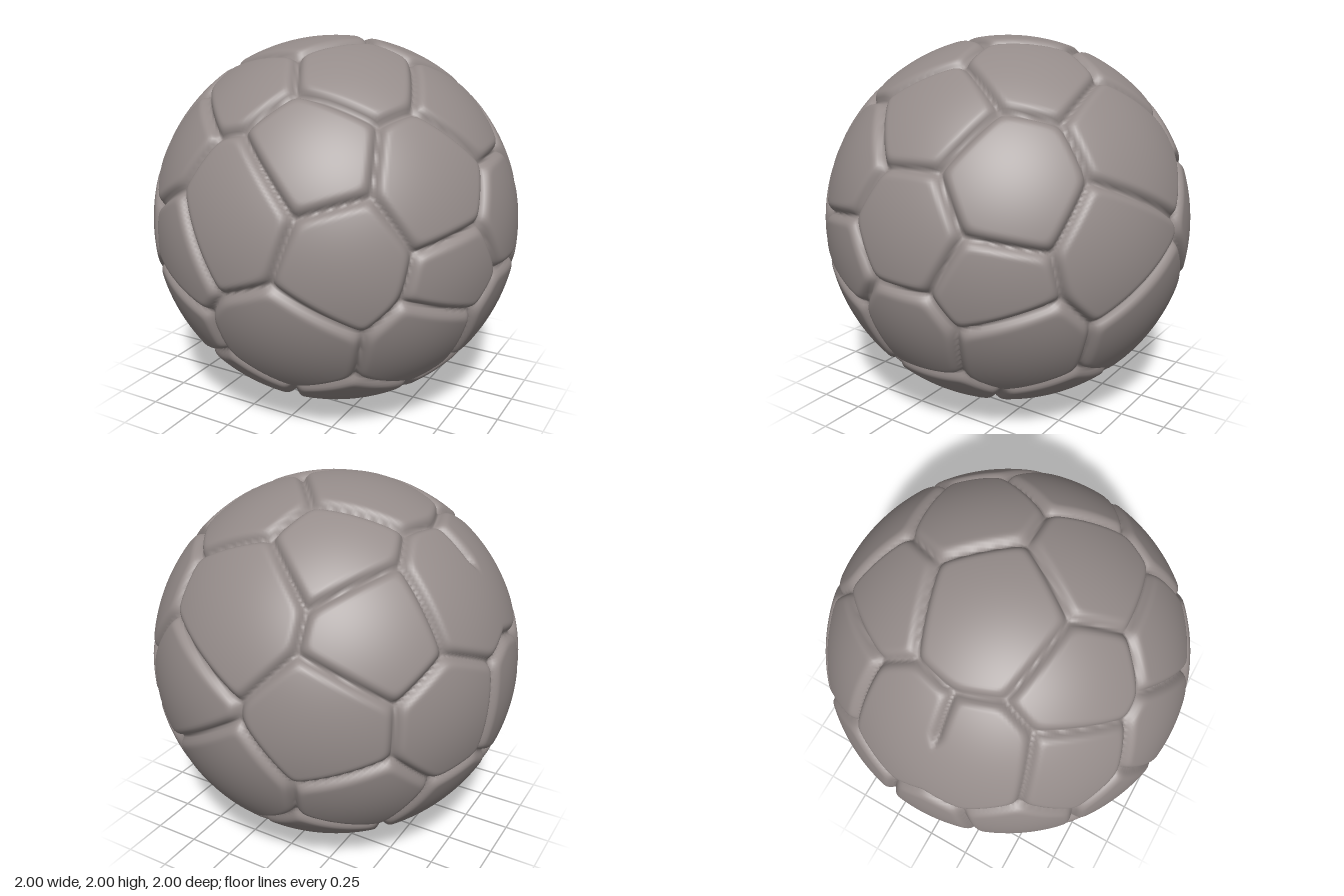
import * as THREE from 'three';
import { mergeVertices } from 'three/addons/utils/BufferGeometryUtils.js';

// Panels without a mirror twin: direction x, y, z and optional size bias
const SINGLE = [
  [0.98, 0.18, 0], [0.71, 0.7, 0.03], [0.92, -0.38, 0.03], [0.62, -0.8, 0, -0.01],
  [-0.16, 0.98, 0, 0.01], [-0.15, -0.98, 0], [-1, -0.04, 0.05, -0.01],
  [-0.11, 0.26, 0.96, 0.02], [0.23, 0.54, 0.8], [0.14, 0.56, -0.82, 0.01],
];

// Panels that come in front and back pairs, mirrored in z
const PAIRED = [
  [0.9, -0.07, 0.44, -0.01], [0.78, 0.43, 0.48], [0.76, -0.42, 0.5],
  [0.43, 0.08, 0.89], [0.14, -0.38, 0.91, 0.01], [0.28, 0.88, 0.31],
  [0.27, -0.85, 0.43], [-0.25, 0.8, 0.52, -0.01], [-0.24, -0.76, 0.6],
  [-0.58, 0.48, 0.66], [-0.43, 0.05, 0.9], [-0.52, -0.42, 0.73],
  [-0.73, -0.61, 0.27], [-0.87, 0.03, 0.48],
];

// One long panel on the left, made of two joined halves
const LONG_HALF = [-0.8, 0.56, 0.21];

const TWIST = 0.05;
const SEAM_DEPTH = 0.045;
const SEAM_HALF_WIDTH = 0.055;
const UP = new THREE.Vector3(0, 1, 0);

function panel([x, y, z, bias = 0], side, joined = false) {
  const dir = new THREE.Vector3(x, y, z * side).normalize().applyAxisAngle(UP, TWIST);
  return { dir, bias, joined };
}

const PANELS = [
  ...SINGLE.map((row) => panel(row, 1)),
  ...[1, -1].flatMap((side) => [
    ...PAIRED.map((row) => panel(row, side)),
    panel(LONG_HALF, side, true),
  ]),
];

// Distance from a point on the unit sphere to the nearest seam, softened at corners
function seamDistance(p) {
  const score = PANELS.map(({ dir, bias }) => dir.dot(p) + bias);
  const own = score.indexOf(Math.max(...score));
  const home = PANELS[own];
  let sum = 0;
  PANELS.forEach((other, j) => {
    if (j === own) return;
    let d = (score[own] - score[j]) / home.dir.distanceTo(other.dir);
    // the crease inside the long panel fades out lower down
    if (home.joined && other.joined) d += 0.08 * (1 - THREE.MathUtils.smoothstep(p.y, 0.54, 0.68));
    sum += Math.exp(-d * 70);
  });
  return Math.max(0, -Math.log(sum) / 70);
}

// Sphere pressed in along the seams so that each panel stands out like a cushion
function makeBall() {
  const base = new THREE.IcosahedronGeometry(1, 80);
  base.deleteAttribute('uv');
  base.deleteAttribute('normal');
  const geometry = mergeVertices(base, 1e-4);
  const position = geometry.attributes.position;
  const p = new THREE.Vector3();
  for (let i = 0; i < position.count; i++) {
    p.fromBufferAttribute(position, i).normalize();
    const t = Math.min(1, seamDistance(p) / SEAM_HALF_WIDTH);
    p.multiplyScalar(1 - SEAM_DEPTH * (1 - t) ** 2.2);
    position.setXYZ(i, p.x, p.y, p.z);
  }
  geometry.computeVertexNormals();
  return geometry;
}

export function createModel() {
  const group = new THREE.Group();
  group.name = 'panelledBall';
  const leather = new THREE.MeshStandardMaterial({ color: 0x958c8a });
  leather.name = 'warm grey leather';
  const ball = new THREE.Mesh(makeBall(), leather);
  ball.name = 'ballPanels';
  ball.position.y = 1;
  group.add(ball);
  return group;
}
